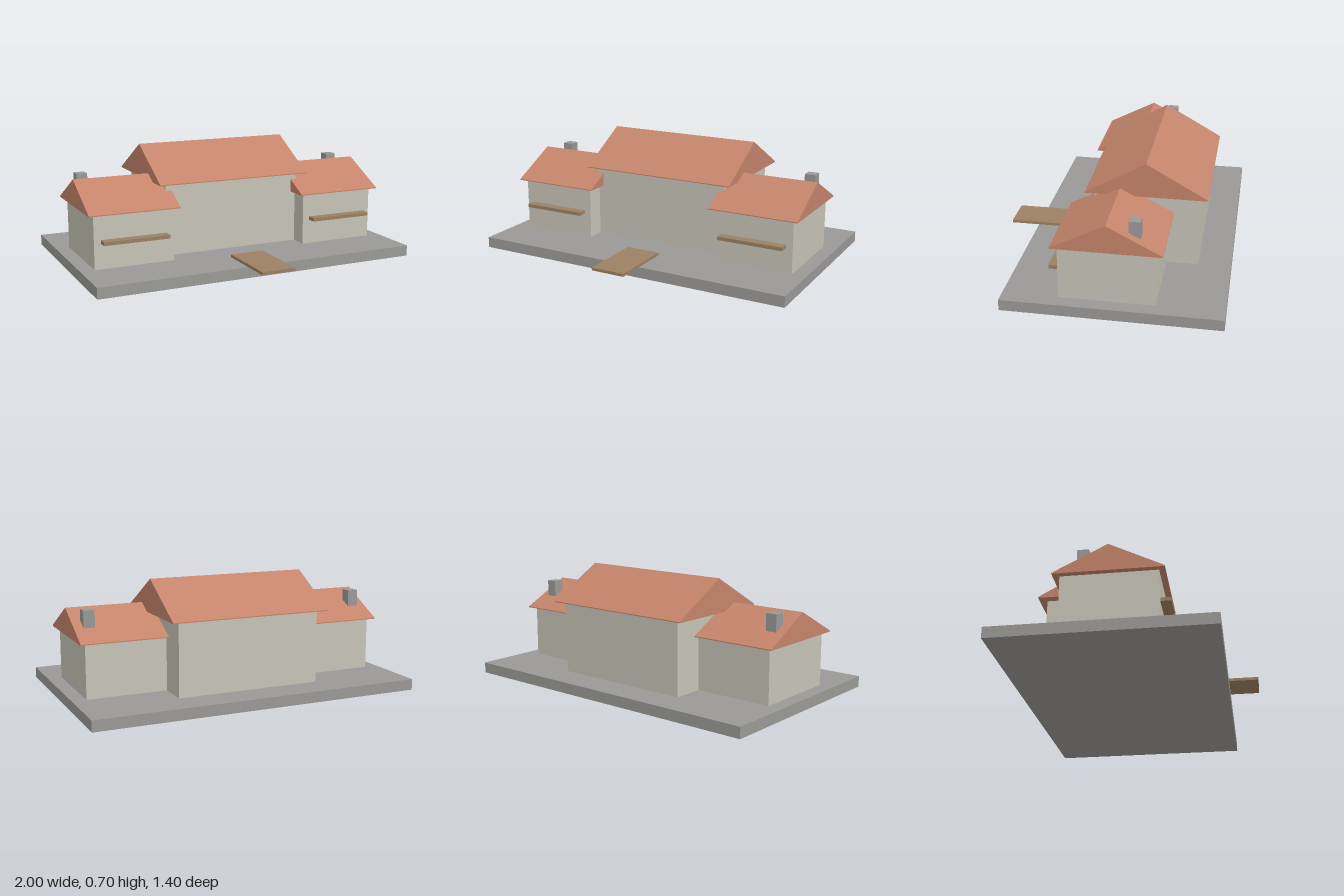
import * as THREE from 'three';

const material = (name, color) => {
  const m = new THREE.MeshStandardMaterial({ color });
  m.name = name;
  return m;
};

export function createModel() {
  const model = new THREE.Group();
  model.name = 'house';
  const stone = material('grey stone', 0x9a9996);
  const plaster = material('pale plaster', 0xc6c3b6);
  const tile = material('terracotta tile', 0xc4846b);
  const wood = material('brown wood', 0x9c8062);

  const add = (name, geometry, mat) => {
    const mesh = new THREE.Mesh(geometry, mat);
    mesh.name = name;
    model.add(mesh);
    return mesh;
  };

  // Box given by its limits on each axis
  const box = (name, mat, [x0, x1], [y0, y1], [z0, z1]) =>
    add(name, new THREE.BoxGeometry(x1 - x0, y1 - y0, z1 - z0), mat)
      .position.set((x0 + x1) / 2, (y0 + y1) / 2, (z0 + z1) / 2);

  // Gable roof with its ridge along x and a thin edge at the eaves
  const gableRoof = (name, [x0, x1], [eave, ridge], [z0, z1]) => {
    const edge = 0.006;
    const mid = (z0 + z1) / 2;
    const shape = new THREE.Shape([
      new THREE.Vector2(-z1, eave),
      new THREE.Vector2(-z0, eave),
      new THREE.Vector2(-z0, eave + edge),
      new THREE.Vector2(-mid, ridge),
      new THREE.Vector2(-z1, eave + edge),
    ]);
    const geometry = new THREE.ExtrudeGeometry(shape, { depth: x1 - x0, bevelEnabled: false });
    geometry.rotateY(Math.PI / 2).translate(x0, 0, 0);
    add(name, geometry, tile);
  };

  // Ground slab and entrance ramp
  box('base', stone, [-1, 1], [0, 0.065], [-0.7, 0.53]);
  box('entrancePath', wood, [-0.105, 0.105], [0.065, 0.082], [0.302, 0.702]);

  // Central hall
  box('hallWalls', plaster, [-0.438, 0.438], [0.065, 0.5], [-0.508, 0.105]);
  gableRoof('hallRoof', [-0.488, 0.488], [0.498, 0.7], [-0.553, 0.148]);

  // Side wings, mirrored
  for (const [side, s] of [['left', 1], ['right', -1]]) {
    const span = (a, b) => (s > 0 ? [a, b] : [-b, -a]);
    box(side + 'WingWalls', plaster, span(0.433, 0.916), [0.065, 0.385], [-0.323, 0.214]);
    gableRoof(side + 'WingRoof', span(0.402, 0.95), [0.381, 0.542], [-0.36, 0.248]);
    box(side + 'Awning', wood, span(0.477, 0.875), [0.215, 0.236], [0.2, 0.273]);
    box(side + 'Chimney', stone, span(0.83, 0.896), [0.43, 0.55], [-0.235, -0.17]);
  }
  return model;
}
